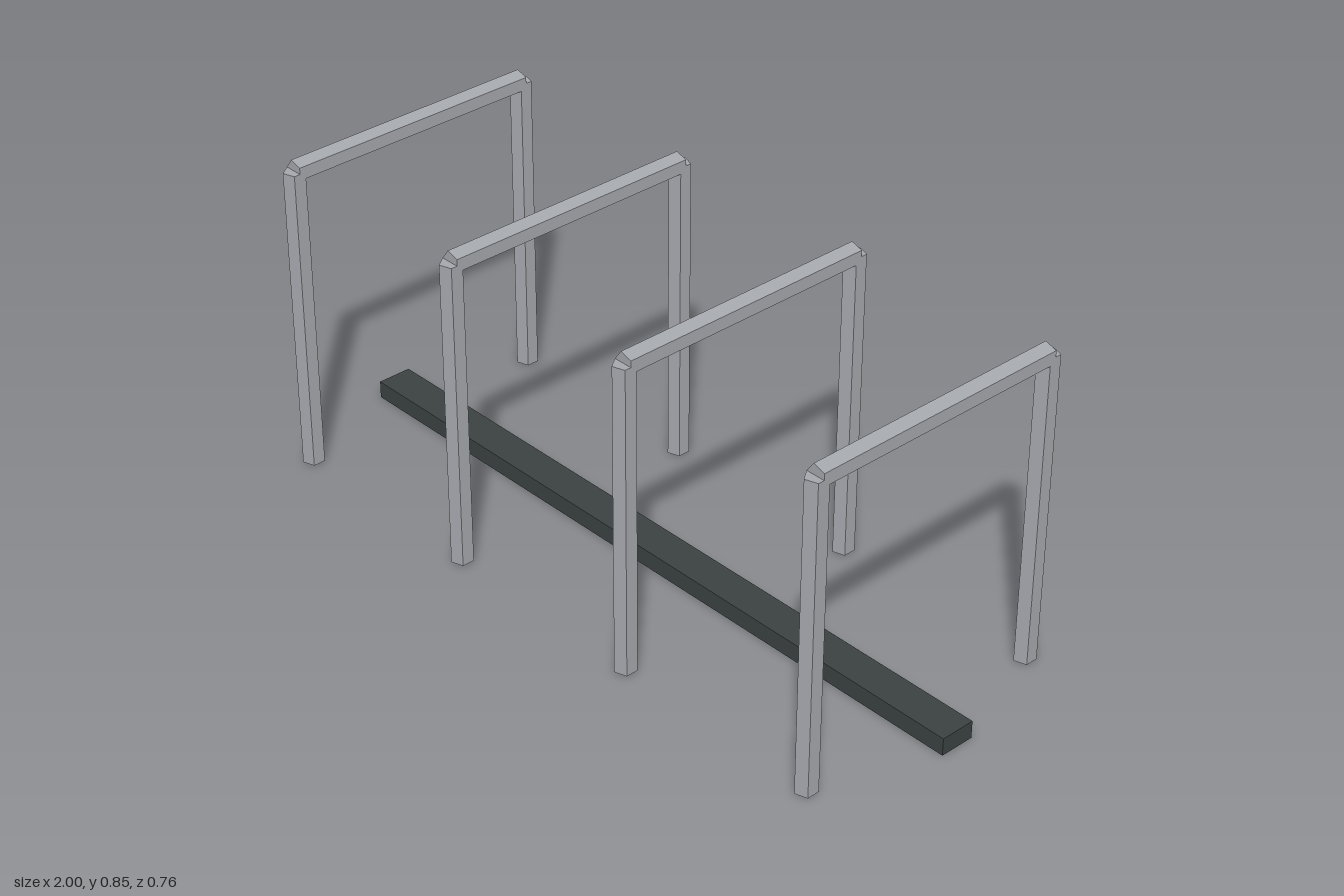
import * as THREE from 'three';

export function createModel() {
  const steel = new THREE.MeshStandardMaterial({ color: 0xa3a6ab });
  const rubber = new THREE.MeshStandardMaterial({ color: 0x3b4241 });
  steel.name = 'galvanised steel';
  rubber.name = 'dark base';

  const R = 0.0285;      // tube radius
  const HEIGHT = 0.826;  // height of the top rail's axis
  const REACH = 0.354;   // post distance from the centre line

  // Five-sided tube: one corner towards -x, a flat face towards +x
  const tube = (length) =>
    new THREE.CylinderGeometry(R, R, length, 5, 1, false, -Math.PI / 2).toNonIndexed();
  const postGeometry = tube(HEIGHT);
  const railGeometry = tube(2 * REACH).rotateX(Math.PI / 2);
  postGeometry.computeVertexNormals();
  railGeometry.computeVertexNormals();

  const part = (name, geometry, material, x, y, z) => {
    const mesh = new THREE.Mesh(geometry, material);
    mesh.name = name;
    mesh.position.set(x, y, z);
    return mesh;
  };

  const model = new THREE.Group();
  model.name = 'bikeRack';

  // Long floor beam
  model.add(part('baseBeam', new THREE.BoxGeometry(2, 0.047, 0.094), rubber, 0, 0.0235, 0));

  // Four evenly spaced hoops, each two posts and a top rail
  for (let i = 0; i < 4; i++) {
    const hoop = new THREE.Group();
    hoop.name = `hoop${i + 1}`;
    hoop.position.x = -0.883 + i * 0.588;
    hoop.add(
      part('frontPost', postGeometry, steel, 0, HEIGHT / 2, REACH),
      part('backPost', postGeometry, steel, 0, HEIGHT / 2, -REACH),
      part('topRail', railGeometry, steel, 0, HEIGHT, 0)
    );
    model.add(hoop);
  }
  return model;
}
